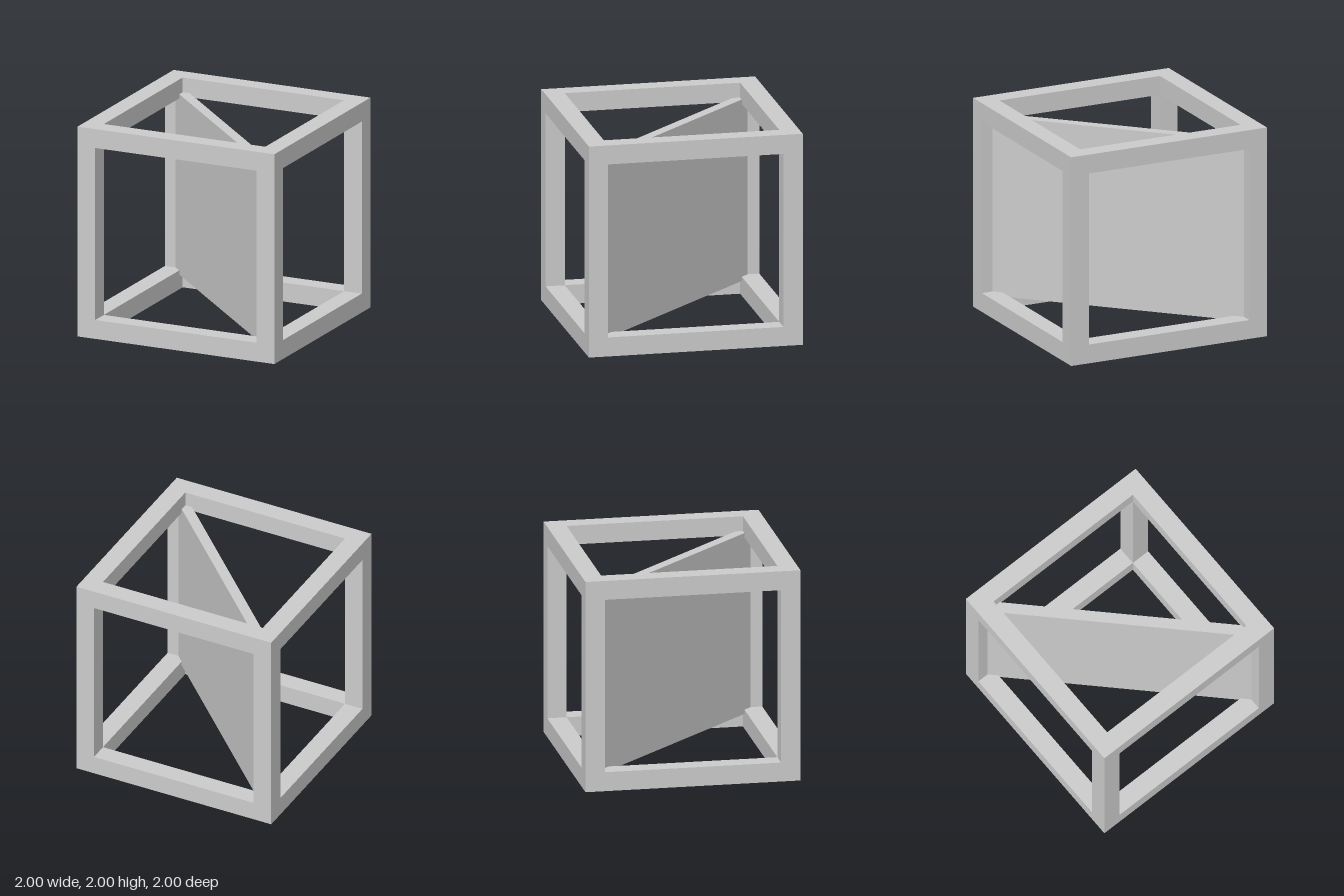
import * as THREE from 'three';

const HALF = 1;            // half of the cube's edge
const BAR = 0.18;          // square bar thickness
const INNER = HALF - BAR;

export function createModel() {
  const model = new THREE.Group();
  model.name = 'cubeFrame';
  const grey = new THREE.MeshStandardMaterial({ color: 0xcccccc });
  grey.name = 'grey';

  const add = (name, geometry, x, y, z) => {
    const mesh = new THREE.Mesh(geometry, grey);
    mesh.name = name;
    mesh.position.set(x, y, z);
    model.add(mesh);
    return mesh;
  };

  const square = (Type, h) => new Type([
    new THREE.Vector2(-h, -h), new THREE.Vector2(h, -h),
    new THREE.Vector2(h, h), new THREE.Vector2(-h, h),
  ]);

  // Square rings at the bottom and top
  const outline = square(THREE.Shape, HALF);
  outline.holes.push(square(THREE.Path, INNER));
  const ring = new THREE.ExtrudeGeometry(outline, { depth: BAR, bevelEnabled: false });
  ring.rotateX(-Math.PI / 2);
  add('bottomRing', ring, 0, 0, 0);
  add('topRing', ring, 0, 2 * HALF - BAR, 0);

  // Four corner posts between the rings
  const post = new THREE.BoxGeometry(BAR, 2 * INNER, BAR);
  const offset = HALF - BAR / 2;
  for (const [side, sx] of [['Left', 1], ['Right', -1]]) {
    for (const [end, sz] of [['front', 1], ['back', -1]]) {
      add(end + side + 'Post', post, sx * offset, HALF, sz * offset);
    }
  }

  // Upright diagonal panel, its ends and edges let into the frame
  const panel = new THREE.BoxGeometry(2 * 0.86 * Math.SQRT2, 1.72, 0.1);
  add('diagonalPanel', panel, 0, HALF, 0).rotation.y = -Math.PI / 4;

  return model;
}
